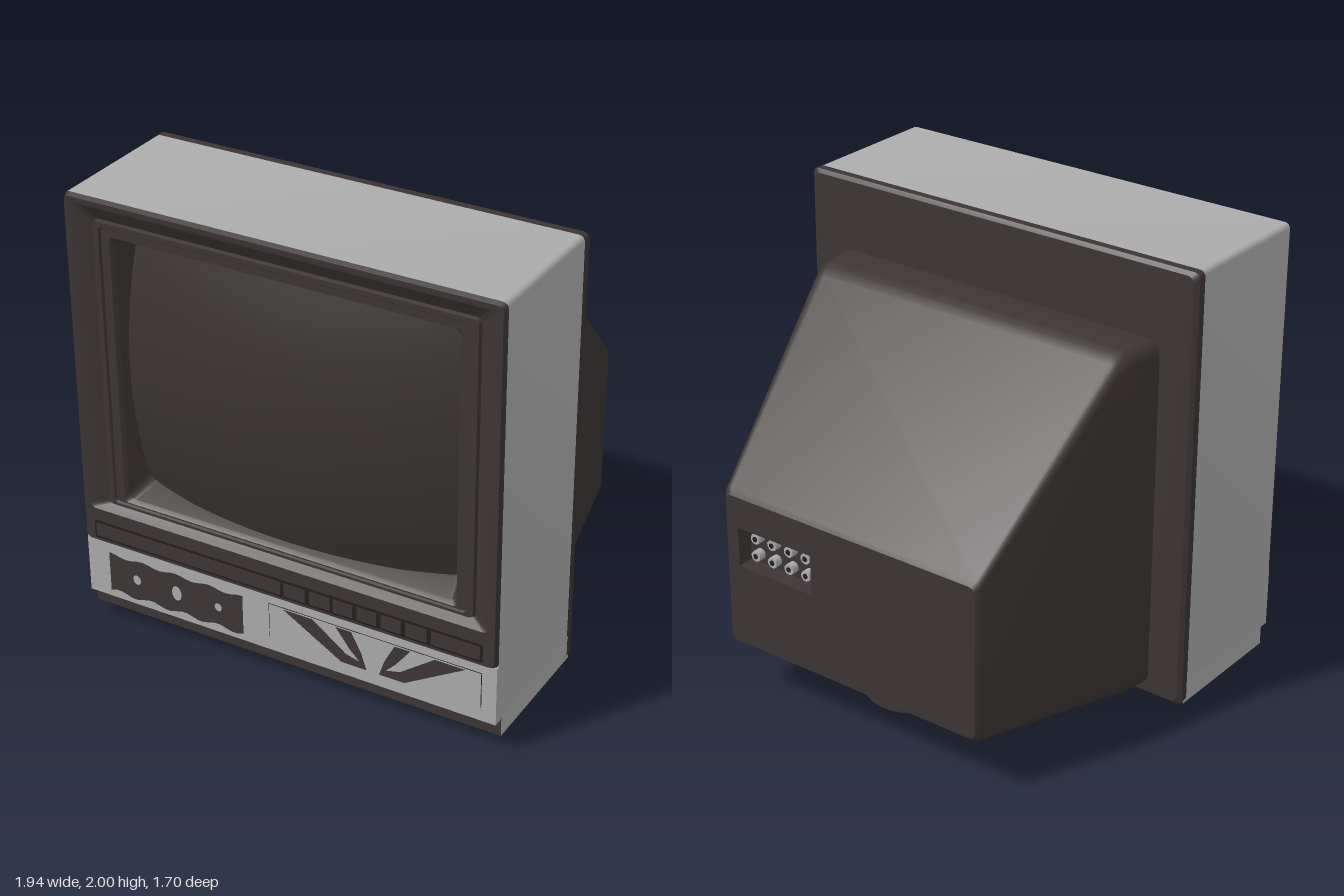
import * as THREE from 'three';
import { toCreasedNormals } from 'three/addons/utils/BufferGeometryUtils.js';

const mat = (name, color) => Object.assign(new THREE.MeshStandardMaterial({ color }), { name });

// Rounded rectangle outline, counter-clockwise seen from +z
function outline([cx, hw, y0, y1, z, r]) {
  const pts = [];
  [[1, 0], [1, 1], [0, 1], [0, 0]].forEach(([sx, sy], c) => {
    for (let i = 0; i < 5; i++) {
      const a = (c - 1 + i / 4) * Math.PI / 2;
      pts.push([cx + (sx ? hw - r : r - hw) + r * Math.cos(a), (sy ? y1 - r : y0 + r) + r * Math.sin(a), z]);
    }
  });
  return pts;
}

// Skin over successive outlines; facing = 1 for front surfaces, -1 for back ones
function skin(sections, facing, cap) {
  const loops = sections.map(outline), n = loops[0].length, pos = [];
  const tri = (a, b, c) => pos.push(...a, ...(facing > 0 ? b : c), ...(facing > 0 ? c : b));
  for (let k = 0; k < loops.length - 1; k++) {
    const A = loops[k], B = loops[k + 1];
    for (let i = 0; i < n; i++) {
      const j = (i + 1) % n;
      tri(A[i], A[j], B[j]);
      tri(A[i], B[j], B[i]);
    }
  }
  const last = loops[loops.length - 1];
  if (cap) for (let i = 1; i < n - 1; i++) tri(last[0], last[i], last[i + 1]);
  const g = new THREE.BufferGeometry();
  g.setAttribute('position', new THREE.Float32BufferAttribute(pos, 3));
  return toCreasedNormals(g, 0.5);
}

export function createModel() {
  const group = new THREE.Group();
  const dark = mat('charcoal plastic', 0x3d3535);
  const silver = mat('silver plastic', 0xacacac);
  const glass = mat('dark glass', 0x3a3333);
  const black = mat('groove black', 0x231f1f);

  const add = (name, geo, material, x = 0, y = 0, z = 0) => {
    const m = new THREE.Mesh(geo, material);
    m.name = name;
    m.position.set(x, y, z);
    group.add(m);
    return m;
  };
  // Box given by its extents
  const box = (name, material, x0, x1, y0, y1, z0, z1) =>
    add(name, new THREE.BoxGeometry(x1 - x0, y1 - y0, z1 - z0), material,
      (x0 + x1) / 2, (y0 + y1) / 2, (z0 + z1) / 2);
  const plate = (name, points, material, z, holes = []) => {
    const s = new THREE.Shape(points.map(p => new THREE.Vector2(...p)));
    s.holes.push(...holes);
    return add(name, new THREE.ExtrudeGeometry(s, { depth: 0.003, bevelEnabled: false }), material, 0, 0, z);
  };

  // Silver cabinet sleeve, lower skirt and front control panel
  add('cabinetSleeve', skin([[0, 0.97, 0.13, 2, 0.17, 0.025], [0, 0.97, 0.13, 2, 0.797, 0.025]], 1, false), silver);
  box('lowerSkirt', [silver, silver, silver, dark, dark, dark], -0.97, 0.97, 0.06, 0.16, 0.15, 0.76);
  box('controlPanel', silver, -0.968, 0.968, 0.14, 0.41, 0.6, 0.805);

  // Front bezel stepping in to the screen opening
  add('screenBezel', skin([
    [0, 0.97, 0.405, 2, 0.795, 0.025],
    [0, 0.96, 0.415, 1.99, 0.817, 0.025],
    [0, 0.935, 0.57, 1.965, 0.817, 0.03],
    [0, 0.855, 0.595, 1.9, 0.775, 0.02],
    [0, 0.85, 0.6, 1.895, 0.792, 0.02],
    [0, 0.825, 0.612, 1.875, 0.792, 0.02],
    [0, 0.818, 0.616, 1.868, 0.782, 0.02],
    [0, 0.78, 0.622, 1.835, 0.782, 0.02],
    [0, 0.765, 0.635, 1.825, 0.765, 0.03],
    [0, 0.735, 0.69, 1.815, 0.6, 0.05],
  ], 1, false), dark);

  // Bulging picture tube
  const tube = new THREE.PlaneGeometry(1.52, 1.18, 16, 14);
  const tp = tube.attributes.position;
  for (let i = 0; i < tp.count; i++) tp.setZ(i, -0.22 * tp.getX(i) ** 2 - 0.27 * tp.getY(i) ** 2);
  tube.computeVertexNormals();
  add('screen', tube, glass, 0, 1.245, 0.85);

  // Button strip under the screen
  box('buttonGroove', black, -0.915, 0.91, 0.428, 0.512, 0.812, 0.819);
  [[-0.905, -0.005], [0.01, 0.11], [0.13, 0.225], [0.24, 0.33], [0.35, 0.44], [0.46, 0.55], [0.57, 0.665], [0.685, 0.9]]
    .forEach(([a, b]) => box('button', dark, a, b, 0.44, 0.5, 0.815, 0.823));

  // Wavy dark inlay with three openings
  const wave = [];
  for (let i = 0; i <= 24; i++) wave.push([-0.86 + i * 0.0275, 0.172 + 0.009 * Math.sin(i * 1.05)]);
  for (let i = 24; i >= 0; i--) wave.push([-0.86 + i * 0.0275, 0.352 + 0.007 * Math.cos(i * 1.05)]);
  const holes = [[-0.725, 0.02, 0.024], [-0.525, 0.024, 0.036], [-0.32, 0.018, 0.02]].map(([x, rx, ry]) =>
    new THREE.Path().absellipse(x, 0.263, rx, ry, 0, Math.PI * 2, true));
  plate('wavyInlay', wave, dark, 0.804, holes);

  // Control flap with mirrored rays
  box('flapSeam', black, -0.073, 0.903, 0.202, 0.368, 0.8, 0.8056);
  box('controlFlap', silver, -0.07, 0.9, 0.195, 0.365, 0.8, 0.807);
  const rays = [
    [[0, 0.36], [0.27, 0.2], [0.385, 0.2], [0.37, 0.225], [0.29, 0.245], [0.135, 0.36]],
    [[0.245, 0.36], [0.31, 0.275], [0.385, 0.2], [0.36, 0.275], [0.315, 0.36]],
  ];
  for (const r of rays) {
    plate('ray', r, dark, 0.806);
    plate('ray', r.map(([x, y]) => [0.83 - x, y]).reverse(), dark, 0.806);
  }

  // Rear frame, tapered housing and recessed socket pocket
  add('rearHousing', skin([
    [0, 0.972, 0.06, 2, 0.17, 0.025],
    [0, 0.972, 0.06, 2, 0.135, 0.025],
    [0, 0.955, 0.075, 1.985, 0.12, 0.03],
    [0, 0.812, 0.1, 1.68, 0.118, 0.06],
    [0, 0.79, 0.105, 1.68, -0.03, 0.06],
    [0, 0.782, 0.115, 1.67, -0.07, 0.06],
    [0, 0.775, 0.125, 1.645, -0.11, 0.055],
    [0, 0.655, 0.25, 0.975, -0.825, 0.03],
    [0, 0.64, 0.265, 0.95, -0.845, 0.03],
    [0.385, 0.195, 0.63, 0.81, -0.845, 0.005],
    [0.385, 0.19, 0.635, 0.805, -0.775, 0.005],
  ], -1, true), dark);
  for (let i = 0; i < 4; i++) for (const y of [0.68, 0.76]) {
    const jack = add('socket', new THREE.CylinderGeometry(0.024, 0.024, 0.04, 10), silver, 0.25 + i * 0.09, y, -0.79);
    jack.rotation.x = Math.PI / 2;
    const pin = add('socketHole', new THREE.CylinderGeometry(0.012, 0.012, 0.004, 8), black, 0.25 + i * 0.09, y, -0.811);
    pin.rotation.x = Math.PI / 2;
  }

  // Rear support arm with a rounded end (shape y maps to -z)
  const arm = new THREE.Shape();
  arm.moveTo(-0.34, -0.2);
  arm.lineTo(0.34, -0.2);
  arm.lineTo(0.34, -0.12);
  arm.quadraticCurveTo(0.24, 0.1, 0.215, 0.42);
  arm.absarc(0, 0.42, 0.215, 0, Math.PI, false);
  arm.quadraticCurveTo(-0.24, 0.1, -0.34, -0.12);
  const armGeo = new THREE.ExtrudeGeometry(arm, { depth: 0.2, bevelEnabled: false, curveSegments: 16 });
  armGeo.rotateX(-Math.PI / 2);
  add('supportArm', toCreasedNormals(armGeo, 0.6), dark, 0, 0.06, 0);

  // Three feet
  for (const [x, z] of [[-0.835, 0.61], [0.835, 0.61], [0.02, -0.42]])
    add('foot', new THREE.CylinderGeometry(0.07, 0.062, 0.065, 20), dark, x, 0.0325, z);

  return group;
}
